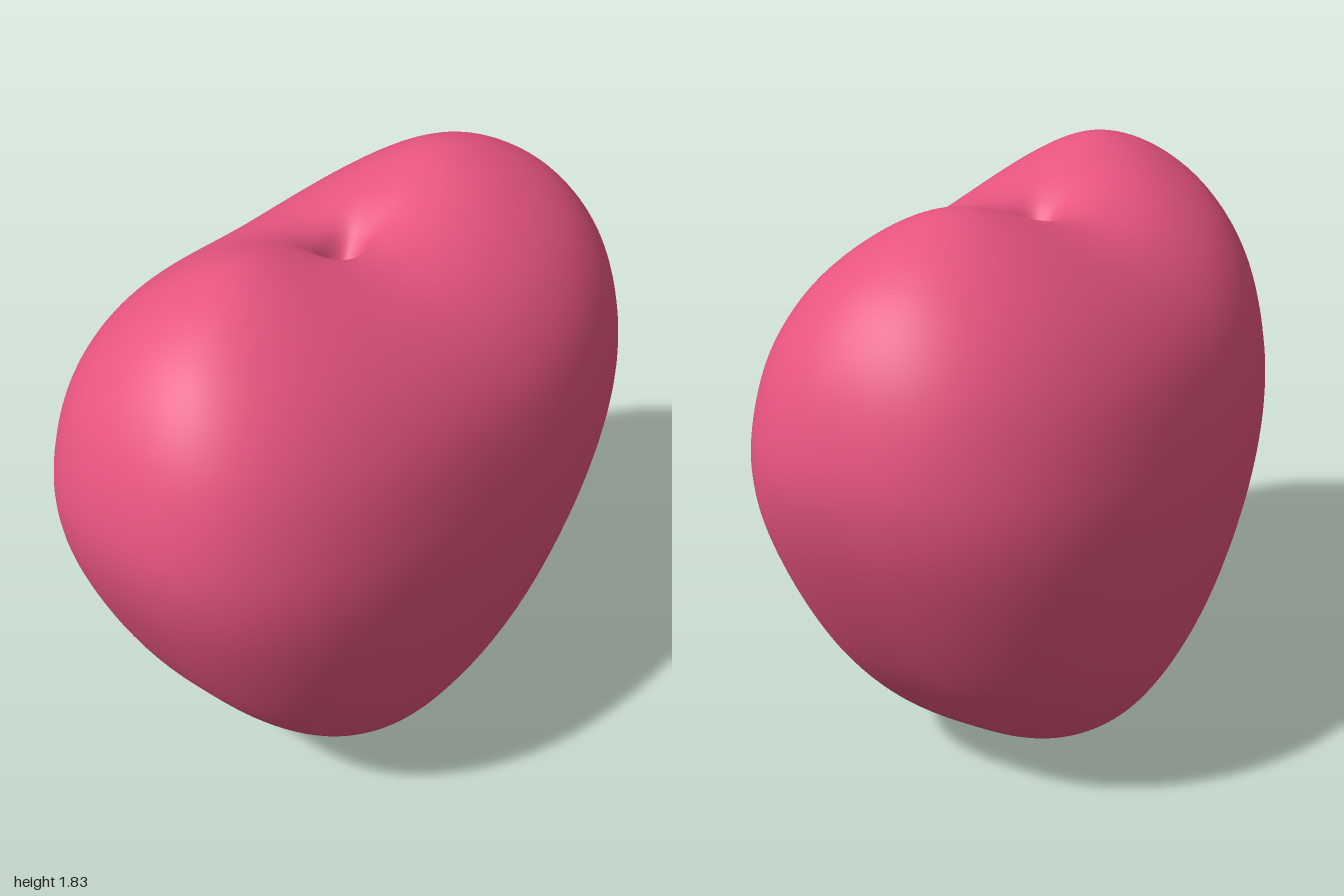
import * as THREE from 'three';
import { mergeVertices } from 'three/addons/utils/BufferGeometryUtils.js';

// Paired points of the side outline (x, y) and the front outline (z, y), from bottom tip to top dimple
const PROFILE = [
  [0, 0, 0, 0],
  [0.15, 0.035, 0.14, 0.026],
  [0.3, 0.1, 0.27, 0.075],
  [0.5, 0.26, 0.4, 0.18],
  [0.7, 0.5, 0.51, 0.38],
  [0.88, 0.82, 0.6, 0.7],
  [0.98, 1.09, 0.63, 0.97],
  [0.995, 1.28, 0.615, 1.17],
  [0.93, 1.52, 0.56, 1.38],
  [0.8, 1.69, 0.47, 1.53],
  [0.62, 1.795, 0.35, 1.64],
  [0.43, 1.83, 0.24, 1.695],
  [0.22, 1.775, 0.14, 1.713],
  [0.1, 1.7, 0.075, 1.69],
  [0.03, 1.62, 0.025, 1.62],
  [0, 1.6, 0, 1.6],
];

function heartGeometry(rows = 120, cols = 128) {
  const side = new THREE.CatmullRomCurve3(PROFILE.map(p => new THREE.Vector3(p[0], p[1], 0)));
  const front = new THREE.CatmullRomCurve3(PROFILE.map(p => new THREE.Vector3(p[2], p[3], 0)));
  const n = 2.4; // roundness of the horizontal section
  const positions = [], index = [];

  for (let i = 0; i <= rows; i++) {
    const a = side.getPoint(i / rows), b = front.getPoint(i / rows);
    for (let j = 0; j < cols; j++) {
      const phi = (j / cols) * Math.PI * 2;
      const c = Math.cos(phi), s = Math.sin(phi);
      const k = Math.pow(Math.abs(c) ** n + Math.abs(s) ** n, -1 / n);
      positions.push(
        a.x * c * k,
        THREE.MathUtils.lerp(b.y, a.y, c * c),
        b.x * s * k + 0.06 * a.x * a.x * c * c, // lobes lean slightly forward
      );
      if (i < rows) {
        const j2 = (j + 1) % cols;
        const p = i * cols + j, q = i * cols + j2;
        if (i < rows - 1) index.push(p, p + cols, q + cols);
        if (i > 0) index.push(p, q + cols, q);
        if (i === rows - 1) continue;
      }
    }
  }
  // Close the cap around the dimple
  const last = (rows - 1) * cols;
  for (let j = 0; j < cols; j++) index.push(last + j, last + cols + j, last + (j + 1) % cols);

  const geometry = new THREE.BufferGeometry();
  geometry.setAttribute('position', new THREE.Float32BufferAttribute(positions, 3));
  geometry.setIndex(index);
  const merged = mergeVertices(geometry, 1e-5);
  merged.computeVertexNormals();
  return merged;
}

export function createModel() {
  const group = new THREE.Group();
  group.name = 'heart';
  const body = new THREE.Mesh(heartGeometry(), new THREE.MeshStandardMaterial({ color: 0xe8557f }));
  body.name = 'heartBody';
  group.add(body);
  return group;
}
